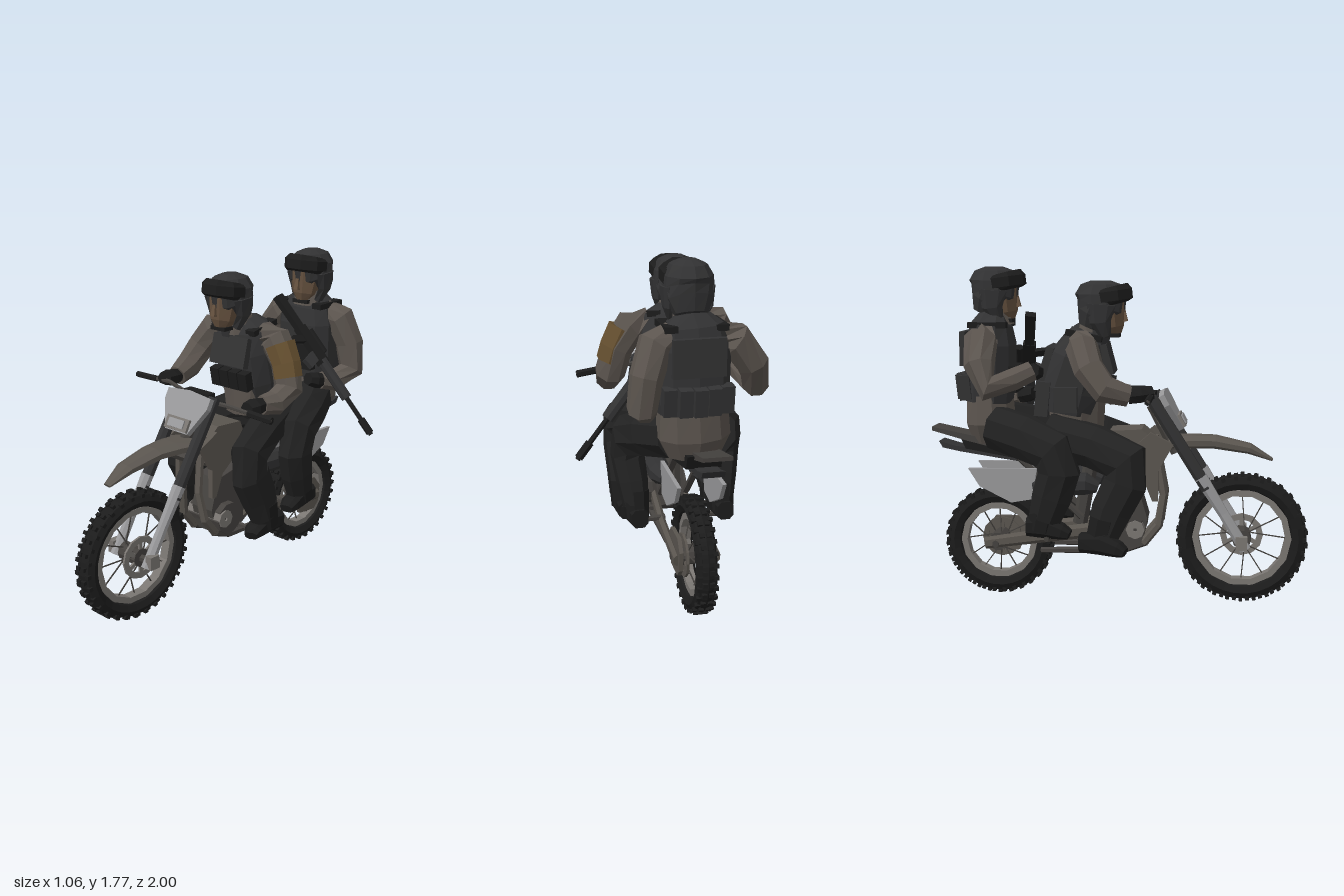
import * as THREE from 'three';
import { mergeGeometries } from 'three/addons/utils/BufferGeometryUtils.js';

const mat = (name, color) => Object.assign(new THREE.MeshStandardMaterial({ color }), { name });
const M = {
  rubber: mat('rubber', 0x1c1c1c), trousers: mat('trousers', 0x222222), vest: mat('vest', 0x323233),
  cloth: mat('sleeve cloth', 0x5c554f), plastic: mat('taupe plastic', 0x5a554f), silver: mat('silver', 0x98989a),
  steel: mat('steel', 0x45423f), rim: mat('rim metal', 0x7a7672), tan: mat('tan patch', 0x665030), skin: mat('skin', 0x65513f),
};

// Flat-shaded mesh
function add(group, name, material, geo) {
  const g = geo.index ? geo.toNonIndexed() : geo;
  g.computeVertexNormals();
  const mesh = new THREE.Mesh(g, material);
  mesh.name = name;
  group.add(mesh);
  return mesh;
}

// Skin through oval sections [x, y, z, r, depthRadius?]
function loft(sections, sides = 8, power = 1) {
  const pos = [], idx = [], n = sections.length;
  const P = sections.map(s => new THREE.Vector3(s[0], s[1], s[2]));
  const sq = v => Math.sign(v) * Math.abs(v) ** power;
  sections.forEach((s, i) => {
    const t = P[Math.min(i + 1, n - 1)].clone().sub(P[Math.max(i - 1, 0)]).normalize();
    const ref = Math.abs(t.x) > 0.95 ? new THREE.Vector3(0, 0, 1) : new THREE.Vector3(1, 0, 0);
    const u = ref.addScaledVector(t, -ref.dot(t)).normalize();
    const v = t.clone().cross(u);
    for (let j = 0; j < sides; j++) {
      const a = (j + 0.5) / sides * Math.PI * 2;
      const p = P[i].clone().addScaledVector(u, sq(Math.cos(a)) * s[3]).addScaledVector(v, sq(Math.sin(a)) * (s[4] ?? s[3]));
      pos.push(p.x, p.y, p.z);
    }
  });
  const c0 = n * sides, c1 = c0 + 1, last = (n - 1) * sides;
  pos.push(...P[0].toArray(), ...P[n - 1].toArray());
  for (let j = 0; j < sides; j++) {
    const k = (j + 1) % sides;
    for (let i = 0; i < n - 1; i++) {
      const a = i * sides + j, b = i * sides + k;
      idx.push(a, b, b + sides, a, b + sides, a + sides);
    }
    idx.push(c0, k, j, c1, last + j, last + k);
  }
  const g = new THREE.BufferGeometry();
  g.setAttribute('position', new THREE.Float32BufferAttribute(pos, 3));
  return g.setIndex(idx);
}
const rod = (a, b, r, sides = 6) => loft([[...a, r], [...b, r]], sides);
const box = (w, h, d, x, y, z, rx = 0) => new THREE.BoxGeometry(w, h, d).rotateX(rx).translate(x, y, z);

// Plate cut from a [z, y] outline, with thickness across x
function side(points, width, x = 0) {
  const g = new THREE.ExtrudeGeometry(new THREE.Shape(points.map(p => new THREE.Vector2(...p))), { depth: width, bevelEnabled: false });
  return g.translate(0, 0, -width / 2).rotateY(-Math.PI / 2).translate(x, 0, 0);
}

// Ring around the x axis
function ring(ri, ro, w, seg) {
  const pts = [[ri, -w], [ro, -w], [ro, w], [ri, w], [ri, -w]].map(p => new THREE.Vector2(p[0], p[1] / 2));
  return new THREE.LatheGeometry(pts, seg).rotateZ(Math.PI / 2);
}

function wheel(name, R, y, z, discR, discMat) {
  const g = new THREE.Group();
  g.name = name;
  g.position.set(0, y, z);
  add(g, 'tyre', M.rubber, new THREE.TorusGeometry(R - 0.05, 0.045, 8, 30).rotateY(Math.PI / 2).scale(1.2, 1, 1));
  const knobs = [], spokes = [];
  for (let i = 0; i < 60; i++) {
    for (const x of i % 2 ? [-0.04, 0.04] : [-0.017, 0.017])
      knobs.push(new THREE.BoxGeometry(0.024, 0.02, 0.02).translate(x, R - (i % 2 ? 0.02 : 0.009), 0).rotateX(i / 30 * Math.PI));
  }
  for (let i = 0; i < 12; i++) {
    const a = i / 12 * Math.PI * 2, b = a + (i % 4 < 2 ? 0.3 : -0.3), q = R - 0.11;
    spokes.push(rod([i % 2 ? 0.04 : -0.04, 0.05 * Math.cos(b), 0.05 * Math.sin(b)], [0, q * Math.cos(a), q * Math.sin(a)], 0.004, 4));
  }
  add(g, 'tread knobs', M.rubber, mergeGeometries(knobs));
  add(g, 'spokes', M.steel, mergeGeometries(spokes));
  add(g, 'rim', M.rim, ring(R - 0.118, R - 0.085, 0.055, 14));
  add(g, 'hub', M.steel, ring(0.012, 0.05, 0.13, 10));
  add(g, 'disc', discMat, ring(discR * 0.72, discR, 0.012, 12).translate(0.055, 0, 0));
  for (let i = 0; i < 3; i++)
    add(g, 'disc arm', discMat, box(0.012, discR * 1.6, 0.022, 0.055, 0, 0, i * Math.PI / 3));
  return g;
}

function motorbike() {
  const b = new THREE.Group();
  b.name = 'motorbike';
  b.add(wheel('frontWheel', 0.347, 0.347, 0.647, 0.115, M.rim));
  b.add(wheel('rearWheel', 0.295, 0.3, -0.66, 0.11, M.plastic));
  add(b, 'tank', M.plastic, side([[0.18, 0.88], [0.12, 0.93], [-0.05, 0.92], [-0.1, 0.8], [0.08, 0.66], [0.16, 0.72]], 0.19));
  add(b, 'seat', M.rubber, side([[0.02, 0.9], [-0.5, 0.84], [-0.85, 0.88], [-0.82, 0.81], [-0.3, 0.72], [0, 0.76]], 0.17));
  add(b, 'rearFender', M.steel, side([[-0.5, 0.83], [-0.8, 0.885], [-1, 0.925], [-1, 0.905], [-0.8, 0.85], [-0.5, 0.78]], 0.14, -0.018));
  add(b, 'tailPlate', M.vest, side([[-0.45, 0.78], [-0.88, 0.82], [-0.97, 0.845], [-0.95, 0.81], [-0.85, 0.79], [-0.45, 0.73]], 0.11, -0.01));
  add(b, 'frontFender', M.plastic, loft([[0, 0.768, 0.8, 0.025, 0.008], [0, 0.825, 0.68, 0.06, 0.028], [0, 0.858, 0.5, 0.08, 0.036], [0, 0.86, 0.38, 0.1, 0.036], [0, 0.855, 0.26, 0.12, 0.035]], 8));
  // Number board and lamp
  const board = new THREE.Group();
  board.name = 'headlight';
  board.position.set(0.005, 1.01, 0.265);
  board.rotation.x = -0.5;
  const shield = new THREE.Shape([[-0.155, 0.11], [-0.155, 0.05], [-0.08, -0.1], [0.08, -0.1], [0.155, 0.05], [0.155, 0.11], [0, 0.125]].map(p => new THREE.Vector2(...p)));
  add(board, 'shield', M.silver, new THREE.ExtrudeGeometry(shield, { depth: 0.03, bevelEnabled: false }));
  add(board, 'lamp surround', M.rim, box(0.16, 0.07, 0.03, 0, -0.06, 0.03));
  add(board, 'lamp', M.silver, box(0.11, 0.045, 0.02, 0, -0.06, 0.043));
  add(board, 'instrument cowl', M.plastic, box(0.24, 0.12, 0.06, 0, 0.03, -0.04));
  b.add(board);
  // Handlebar with grips
  add(b, 'handlebar', M.steel, loft([[-0.46, 1.12, 0.18, 0.012], [-0.2, 1.13, 0.185, 0.012], [-0.08, 1.08, 0.16, 0.014], [0.08, 1.07, 0.16, 0.014], [0.2, 1.07, 0.15, 0.012], [0.46, 1.04, 0.11, 0.012]], 6));
  add(b, 'grip', M.rubber, rod([-0.46, 1.12, 0.18], [-0.3, 1.125, 0.182], 0.017));
  add(b, 'grip', M.rubber, rod([0.32, 1.055, 0.13], [0.46, 1.04, 0.11], 0.02));
  add(b, 'bar pad', M.rubber, box(0.18, 0.05, 0.05, 0, 1.09, 0.16));
  for (const y of [0.83, 1.05]) add(b, 'fork clamp', M.steel, box(0.27, 0.035, 0.08, 0, y, 0.2 + (1.05 - y) * 0.6, 0.55));
  add(b, 'steering head', M.steel, rod([0, 1.05, 0.17], [0, 0.8, 0.3], 0.035, 8));
  add(b, 'front axle', M.steel, rod([-0.15, 0.345, 0.645], [0.15, 0.345, 0.645], 0.02));
  add(b, 'rear axle', M.steel, rod([-0.12, 0.3, -0.66], [0.12, 0.3, -0.66], 0.02));
  add(b, 'engine block', M.steel, side([[0.1, 0.62], [-0.08, 0.66], [-0.16, 0.36], [-0.05, 0.29], [0.12, 0.31], [0.15, 0.45]], 0.15));
  add(b, 'crankcase', M.steel, ring(0.01, 0.09, 0.23, 10).translate(0, 0.39, 0.05));
  add(b, 'crankcase cover', M.rim, ring(0.01, 0.05, 0.25, 8).translate(0, 0.4, 0.09));
  add(b, 'shock absorber', M.steel, rod([0, 0.78, -0.15], [0, 0.4, -0.22], 0.04));
  add(b, 'chain cover', M.plastic, side([[-0.52, 0.36], [-0.56, 0.41], [-0.7, 0.41], [-0.75, 0.35], [-0.74, 0.25], [-0.7, 0.21], [-0.57, 0.22]], 0.02, 0.085));
  // Mirrored parts
  for (const s of [-1, 1]) {
    add(b, 'forkUpper', M.vest, rod([s * 0.12, 1.1, 0.17], [s * 0.12, 0.63, 0.465], 0.034, 8));
    add(b, 'forkLower', M.silver, loft([[s * 0.12, 0.69, 0.43, 0.036], [s * 0.12, 0.5, 0.55, 0.028], [s * 0.12, 0.31, 0.665, 0.032]], 8));
    add(b, 'fork foot', M.rim, box(0.04, 0.07, 0.06, s * 0.145, 0.35, 0.645));
    add(b, 'radiator shroud', M.plastic, side([[0.29, 0.86], [0.17, 0.92], [0.08, 0.84], [0.1, 0.76], [0.18, 0.56], [0.21, 0.56], [0.21, 0.72]], 0.03, s * 0.125));
    add(b, 'downtube', M.plastic, loft([[s * 0.03, 0.88, 0.18, 0.022], [s * 0.06, 0.58, 0.235, 0.022], [s * 0.08, 0.42, 0.21, 0.024], [s * 0.08, 0.32, 0.13, 0.024]], 6));
    add(b, 'cradle', M.steel, loft([[s * 0.08, 0.33, 0.145, 0.024], [s * 0.08, 0.28, 0.02, 0.022], [s * 0.08, 0.265, -0.42, 0.015]], 6));
    add(b, 'subframe', M.steel, rod([s * 0.07, 0.45, -0.2], [s * 0.07, 0.78, -0.55], 0.018));
    add(b, 'swingarm', M.plastic, loft([[s * 0.08, 0.39, -0.1, 0.02, 0.04], [s * 0.1, 0.35, -0.4, 0.02, 0.038], [s * 0.1, 0.3, -0.72, 0.02, 0.032]], 6));
    add(b, 'side panel', M.silver, side([[-0.43, 0.715], [-0.8, 0.71], [-0.74, 0.615], [-0.57, 0.53], [-0.46, 0.55]], 0.02, s * 0.11));
    add(b, 'muffler', M.vest, loft([[s * 0.1, 0.62, -0.11, 0.03], [s * 0.11, 0.64, -0.17, 0.06], [s * 0.11, 0.63, -0.38, 0.06], [s * 0.1, 0.62, -0.45, 0.03]], 8));
    add(b, 'foot peg', M.steel, rod([s * 0.08, 0.31, -0.06], [s * 0.25, 0.31, -0.06], 0.015));
    add(b, 'passenger peg', M.steel, rod([s * 0.08, 0.38, -0.36], [s * 0.25, 0.37, -0.36], 0.015));
  }
  b.position.x = -0.057;
  b.rotation.y = -0.035;
  return b;
}

// Helmeted head, origin at helmet centre
function head(x, y, z) {
  const h = new THREE.Group();
  h.name = 'head';
  h.position.set(x, y, z);
  add(h, 'face', M.skin, loft([[0, -0.15, 0.055, 0.04, 0.045], [0, -0.11, 0.045, 0.072, 0.07], [0, -0.04, 0.035, 0.088, 0.082], [0, 0.02, 0.03, 0.09, 0.09]]));
  add(h, 'nose', M.skin, loft([[0, -0.08, 0.118, 0.02, 0.018], [0, -0.02, 0.108, 0.011, 0.012]], 4));
  add(h, 'neck', M.vest, rod([0, -0.24, -0.04], [0, -0.08, -0.01], 0.065, 8));
  add(h, 'helmet', M.vest, loft([[0, -0.11, -0.07, 0.08, 0.06], [0, -0.05, -0.045, 0.112, 0.098], [0, 0, -0.01, 0.12, 0.13], [0, 0.06, -0.01, 0.115, 0.135], [0, 0.11, -0.01, 0.085, 0.105], [0, 0.13, -0.01, 0.04, 0.05]], 10));
  add(h, 'goggles', M.rubber, loft([[0, 0.005, 0.05, 0.108, 0.09], [0, 0.025, 0.045, 0.122, 0.118], [0, 0.075, 0.04, 0.122, 0.118], [0, 0.095, 0.035, 0.1, 0.1]], 8));
  add(h, 'chin strap', M.rubber, box(0.1, 0.02, 0.08, 0, -0.15, 0.05));
  for (const s of [-1, 1]) add(h, 'ear guard', M.vest, loft([[s * 0.07, -0.15, 0.02, 0.02, 0.03], [s * 0.098, -0.08, -0.005, 0.02, 0.055], [s * 0.105, 0.01, 0, 0.02, 0.075]], 6));
  return h;
}

// Leg and boot, mirrored about the rider's middle; shift turns both feet sideways
function legs(g, cx, path, foot, shift) {
  for (const s of [-1, 1]) {
    const flip = (list, d = 0) => list.map(([x, ...rest], i) => [cx + s * x + d * Math.min(i, 2), ...rest]);
    add(g, 'leg', M.trousers, loft(flip(path), 8));
    add(g, 'boot', M.rubber, loft(flip(foot, shift), 8, 0.7));
    const [x, y, z] = path[path.length - 1];
    add(g, 'boot shaft', M.rubber, loft(flip([[x, y + 0.08, z + 0.01, 0.07, 0.085], [x, y - 0.06, z - 0.02, 0.06, 0.08]]), 8));
  }
}

function arm(g, path, hand) {
  add(g, 'sleeve', M.cloth, loft(path, 8));
  const w = path[path.length - 1];
  const mid = w.slice(0, 3).map((v, i) => (v + hand[i]) / 2);
  add(g, 'glove', M.rubber, loft([[...w.slice(0, 3), 0.042], [...mid, 0.056, 0.045], [...hand, 0.045, 0.035]], 7));
}

function driver() {
  const g = new THREE.Group();
  g.name = 'driver';
  g.add(head(-0.08, 1.565, -0.09));
  add(g, 'hips', M.trousers, loft([[-0.04, 0.8, -0.36, 0.14, 0.12], [-0.04, 0.98, -0.31, 0.16, 0.14]], 10));
  add(g, 'shirt', M.cloth, loft([[-0.04, 0.93, -0.24, 0.14, 0.15], [-0.04, 1.08, -0.24, 0.165, 0.16]], 10));
  add(g, 'collar', M.cloth, loft([[-0.055, 1.38, -0.145, 0.09, 0.09], [-0.06, 1.47, -0.14, 0.08, 0.075]], 8));
  add(g, 'vest', M.vest, loft([[-0.04, 1.01, -0.28, 0.165, 0.15], [-0.04, 1.13, -0.26, 0.18, 0.175], [-0.045, 1.3, -0.21, 0.185, 0.155], [-0.05, 1.4, -0.18, 0.165, 0.11], [-0.06, 1.45, -0.17, 0.085, 0.07]], 10, 0.75));
  for (let i = 0; i < 4; i++) add(g, 'pouch', M.rubber, box(0.058, 0.1, 0.05, -0.137 + i * 0.065, 1.14, -0.065, 0.2));
  add(g, 'chest plate', M.vest, box(0.24, 0.16, 0.04, -0.045, 1.29, -0.065, -0.25));
  add(g, 'back plate', M.vest, box(0.26, 0.24, 0.04, -0.04, 1.24, -0.39, 0.3));
  for (const s of [-1, 1]) {
    add(g, 'side pouch', M.vest, box(0.05, 0.13, 0.12, -0.04 + s * 0.185, 1.09, -0.27));
    add(g, 'rear pouch', M.vest, box(0.1, 0.18, 0.07, -0.04 + s * 0.12, 1.09, -0.395, 0.1));
    add(g, 'shoulder strap', M.rubber, box(0.06, 0.03, 0.19, -0.05 + s * 0.12, 1.415, -0.18, 0.2));
  }
  arm(g, [[0.08, 1.38, -0.19, 0.07], [0.17, 1.36, -0.18, 0.085], [0.24, 1.25, -0.175, 0.08], [0.275, 1.12, -0.16, 0.078], [0.265, 1.065, -0.06, 0.068], [0.25, 1.07, 0.03, 0.05]], [0.24, 1.07, 0.13]);
  add(g, 'arm patch', M.tan, loft([[0.202, 1.345, -0.173, 0.085], [0.248, 1.25, -0.17, 0.081], [0.268, 1.18, -0.163, 0.079]], 8));
  arm(g, [[-0.18, 1.38, -0.19, 0.07], [-0.265, 1.36, -0.18, 0.085], [-0.325, 1.26, -0.14, 0.08], [-0.35, 1.16, -0.06, 0.075], [-0.325, 1.125, 0.06, 0.055]], [-0.3, 1.14, 0.18]);
  legs(g, -0.05, [[0.1, 0.9, -0.36, 0.11, 0.12], [0.18, 0.85, -0.12, 0.1, 0.118], [0.235, 0.78, 0.05, 0.092, 0.125], [0.24, 0.67, 0.04, 0.085, 0.12], [0.24, 0.53, -0.03, 0.08, 0.112], [0.25, 0.41, -0.07, 0.065, 0.09]],
    [[0.25, 0.36, -0.19, 0.045, 0.05], [0.255, 0.365, -0.08, 0.058, 0.06], [0.27, 0.34, 0.01, 0.055, 0.04], [0.28, 0.325, 0.045, 0.04, 0.025]], -0.015);
  return g;
}

function passenger() {
  const g = new THREE.Group();
  g.name = 'passenger';
  g.add(head(0.015, 1.635, -0.665));
  add(g, 'shirt', M.cloth, loft([[-0.01, 0.84, -0.7, 0.13, 0.1], [-0.01, 0.94, -0.7, 0.18, 0.135], [0, 1.12, -0.71, 0.17, 0.125]], 10));
  add(g, 'collar', M.cloth, loft([[0.01, 1.46, -0.655, 0.09, 0.085], [0.012, 1.55, -0.66, 0.08, 0.07]], 8));
  add(g, 'vest', M.vest, loft([[0, 1.06, -0.71, 0.17, 0.13], [0, 1.2, -0.7, 0.175, 0.135], [0, 1.36, -0.695, 0.18, 0.135], [0, 1.46, -0.69, 0.155, 0.11], [0.01, 1.52, -0.68, 0.08, 0.07]], 10, 0.75));
  for (let i = -2; i < 3; i++) add(g, 'belt pouch', M.vest, box(0.062, 0.13, 0.06, i * 0.068, 1.14, -0.845 + i * i * 0.009, -0.1));
  add(g, 'back plate', M.vest, box(0.25, 0.18, 0.03, 0, 1.34, -0.825));
  add(g, 'chest rig', M.rubber, box(0.24, 0.14, 0.05, 0, 1.18, -0.57));
  for (const s of [-1, 1]) add(g, 'shoulder strap', M.rubber, box(0.06, 0.03, 0.2, s * 0.12, 1.465, -0.69));
  arm(g, [[0.1, 1.42, -0.71, 0.07], [0.18, 1.39, -0.73, 0.088], [0.23, 1.25, -0.76, 0.08], [0.25, 1.1, -0.755, 0.072], [0.21, 1.05, -0.64, 0.06], [0.18, 1.06, -0.57, 0.048]], [0.15, 1.08, -0.49]);
  arm(g, [[-0.1, 1.42, -0.7, 0.07], [-0.2, 1.39, -0.71, 0.088], [-0.295, 1.27, -0.7, 0.08], [-0.33, 1.16, -0.65, 0.072], [-0.29, 1.2, -0.53, 0.06], [-0.25, 1.24, -0.44, 0.055]], [-0.18, 1.22, -0.43]);
  legs(g, -0.03, [[0.1, 0.93, -0.65, 0.11, 0.12], [0.19, 0.89, -0.48, 0.1, 0.122], [0.245, 0.83, -0.33, 0.092, 0.12], [0.25, 0.72, -0.3, 0.086, 0.115], [0.235, 0.59, -0.34, 0.08, 0.11], [0.225, 0.47, -0.38, 0.065, 0.09]],
    [[0.225, 0.43, -0.475, 0.045, 0.05], [0.225, 0.43, -0.38, 0.055, 0.06], [0.23, 0.405, -0.29, 0.055, 0.04], [0.235, 0.39, -0.25, 0.04, 0.025]], 0);
  return g;
}

// Slung rifle, modelled along -y then aimed
function rifle() {
  const g = new THREE.Group();
  g.name = 'rifle';
  const a = new THREE.Vector3(-0.06, 1.52, -0.48), dir = new THREE.Vector3(0.52, 0.82, -0.58).sub(a);
  add(g, 'stock', M.rubber, side([[-0.02, 0], [0.035, 0], [0.025, -0.24], [-0.02, -0.24]], 0.035));
  add(g, 'receiver', M.rubber, box(0.04, 0.24, 0.065, 0, -0.33, 0));
  add(g, 'magazine', M.vest, box(0.025, 0.06, 0.12, 0, -0.4, 0.06, 0.25));
  add(g, 'pistol grip', M.rubber, box(0.025, 0.04, 0.09, 0, -0.27, 0.06, -0.3));
  add(g, 'handguard', M.vest, rod([0, -0.43, 0], [0, -0.68, 0], 0.03, 8));
  add(g, 'scope', M.rubber, rod([0, -0.25, -0.055], [0, -0.4, -0.055], 0.022, 8));
  add(g, 'barrel', M.rubber, rod([0, -0.65, 0], [0, -0.92, 0], 0.013));
  add(g, 'muzzle', M.rubber, rod([0, -0.82, 0], [0, -0.91, 0], 0.021));
  g.position.copy(a);
  g.quaternion.setFromUnitVectors(new THREE.Vector3(0, -1, 0), dir.normalize());
  return g;
}

export function createModel() {
  const model = new THREE.Group();
  model.name = 'two riders on a motorbike';
  model.add(motorbike(), driver(), passenger(), rifle());
  return model;
}
